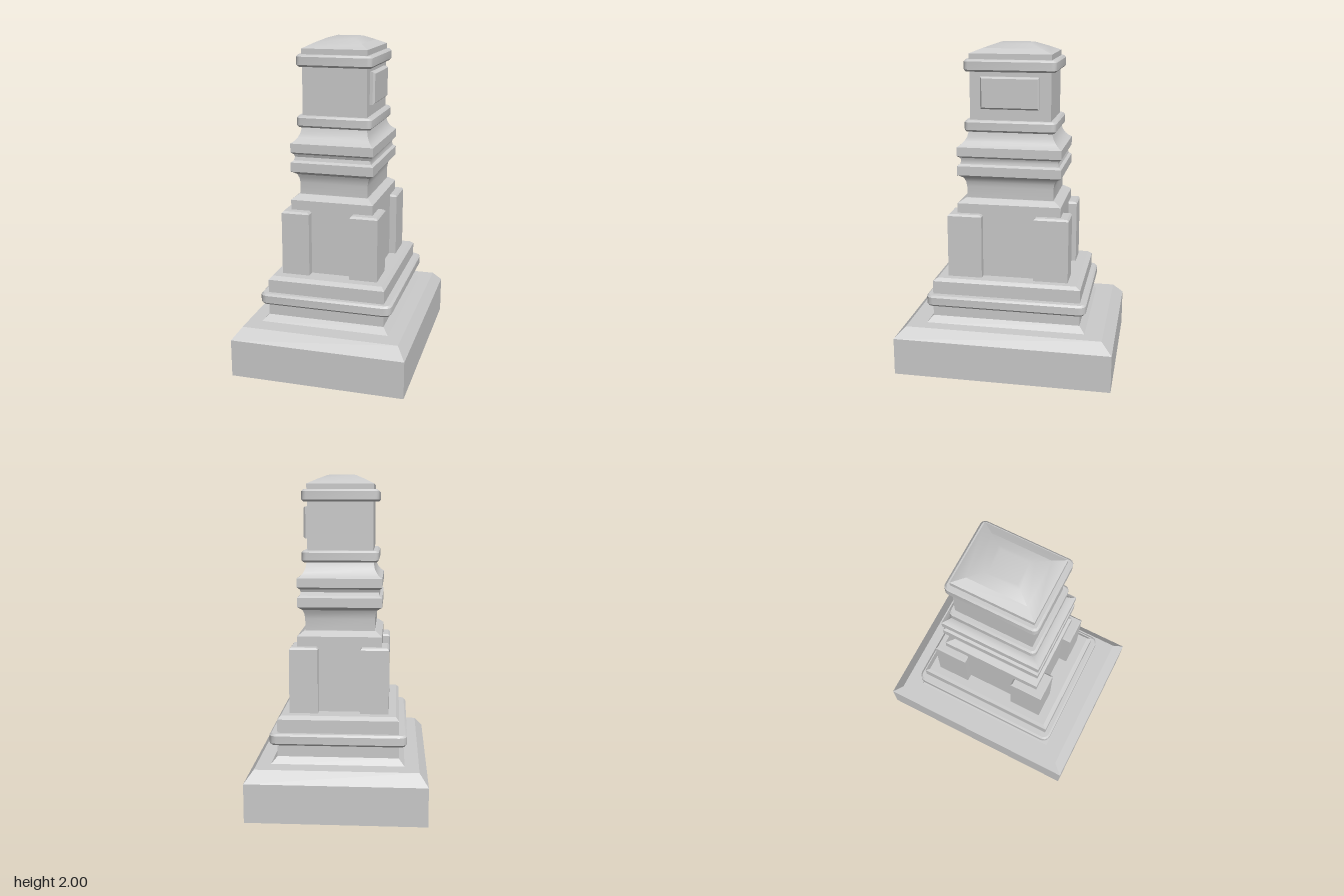
import * as THREE from 'three';
import { toCreasedNormals } from 'three/addons/utils/BufferGeometryUtils.js';

const material = new THREE.MeshStandardMaterial({ color: 0xcccccc });

// Rectangular outline with optionally rounded corners, counter-clockwise seen from above
function outline(hx, hz, r) {
  const steps = r > 0 ? 3 : 0;
  const points = [];
  [[1, -1], [-1, -1], [-1, 1], [1, 1]].forEach(([sx, sz], corner) => {
    for (let i = 0; i <= steps; i++) {
      const a = (corner + (steps ? i / steps : 0)) * Math.PI / 2;
      points.push([
        sx * (hx - r) + r * Math.cos(a),
        sz * (hz - r) - r * Math.sin(a),
      ]);
    }
  });
  return points;
}

// Closed solid from stacked rectangles; each profile row is [half x, half z, y]
function loft(name, profile, radius = 0) {
  const inset = profile.map(([hx]) => Math.max(...profile.map((p) => p[0])) - hx);
  const rings = profile.map(([hx, hz, y], k) =>
    outline(hx, hz, radius > 0 ? Math.max(radius - inset[k], 0.004) : 0)
      .map(([x, z]) => [x, y, z]));
  const n = rings[0].length;
  const positions = rings.flat(2);
  const index = [];
  for (let k = 0; k < rings.length - 1; k++) {
    for (let i = 0; i < n; i++) {
      const a = k * n + i, b = k * n + (i + 1) % n;
      index.push(a, b, b + n, a, b + n, a + n);
    }
  }
  const top = (rings.length - 1) * n;
  for (let i = 1; i < n - 1; i++) {
    index.push(0, i + 1, i, top, top + i, top + i + 1);
  }
  const geometry = new THREE.BufferGeometry();
  geometry.setAttribute('position', new THREE.Float32BufferAttribute(positions, 3));
  geometry.setIndex(index);
  const mesh = new THREE.Mesh(toCreasedNormals(geometry, 0.56), material);
  mesh.name = name;
  return mesh;
}

// Projecting band with bevelled top and bottom edges
function band(name, hx, hz, y0, y1, radius) {
  const b = 0.012;
  return loft(name, [
    [hx - b, hz - b, y0], [hx, hz, y0 + b], [hx, hz, y1 - b], [hx - b, hz - b, y1],
  ], radius);
}

export function createModel() {
  const model = new THREE.Group();
  model.name = 'pedestalMonument';

  // Base block and stepped foot
  model.add(
    loft('plinth', [[0.532, 0.667, 0], [0.532, 0.667, 0.233], [0.48, 0.602, 0.3]]),
    loft('foot', [
      [0.397, 0.493, 0.298], [0.361, 0.457, 0.338],
      [0.361, 0.457, 0.562], [0.343, 0.43, 0.582],
    ]),
    band('footBand', 0.409, 0.495, 0.413, 0.482, 0.045),
  );

  // Middle block with a corner pier at each corner
  model.add(loft('middleBlock', [
    [0.254, 0.319, 0.57], [0.254, 0.319, 1.04], [0.216, 0.273, 1.07],
  ]));
  for (const sx of [-1, 1]) {
    for (const sz of [-1, 1]) {
      const pier = loft('cornerPier', [
        [0.086, 0.106, 0.57], [0.086, 0.106, 0.968], [0.076, 0.096, 0.98],
      ]);
      pier.position.set(sx * 0.212, 0, sz * 0.267);
      model.add(pier);
    }
  }

  // Concave neck, double moulding and upper cove
  model.add(loft('neckMoulding', [
    [0.21, 0.267, 1.06], [0.21, 0.267, 1.14], [0.214, 0.272, 1.17],
    [0.224, 0.283, 1.195], [0.24, 0.303, 1.208], [0.254, 0.318, 1.216],
    [0.254, 0.318, 1.272], [0.238, 0.302, 1.284], [0.233, 0.296, 1.305],
    [0.238, 0.302, 1.322], [0.254, 0.318, 1.334],
    [0.254, 0.318, 1.388], [0.235, 0.3, 1.4], [0.22, 0.281, 1.418],
    [0.207, 0.264, 1.445], [0.2, 0.252, 1.485],
  ]));

  // Shaft with two bands
  model.add(
    loft('shaft', [[0.197, 0.246, 1.47], [0.197, 0.246, 1.94]]),
    band('lowerShaftBand', 0.231, 0.279, 1.48, 1.55, 0.03),
    band('upperShaftBand', 0.231, 0.279, 1.838, 1.91, 0.03),
  );

  // Small step and low hipped cap
  model.add(loft('cap', [
    [0.2, 0.249, 1.9], [0.2, 0.249, 1.943], [0.145, 0.178, 1.971],
    [0.088, 0.108, 1.996], [0.07, 0.085, 2],
  ]));

  // Bevelled panel on the left side of the shaft
  const panel = loft('sidePanel', [
    [0.096, 0.178, 0], [0.096, 0.178, 0.02], [0.086, 0.168, 0.032],
  ]);
  panel.rotation.z = -Math.PI / 2;
  panel.position.set(0.195, 1.714, 0);
  model.add(panel);

  return model;
}
